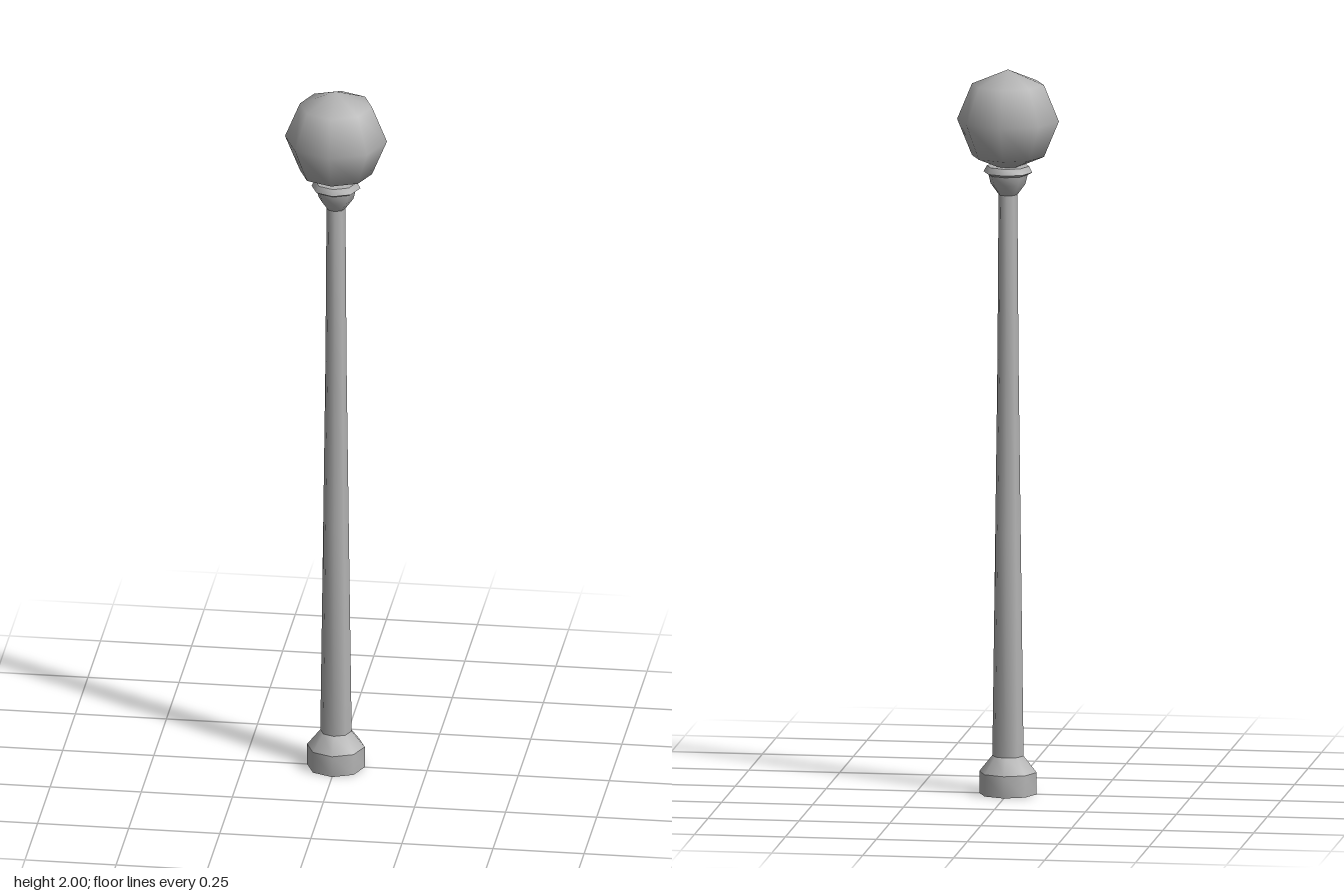
import * as THREE from 'three';
import { toCreasedNormals } from 'three/addons/utils/BufferGeometryUtils.js';

const SIDES = 8;

export function createModel() {
  const group = new THREE.Group();
  const grey = new THREE.MeshStandardMaterial({ color: 0xb4b4b4 });
  grey.name = 'grey';

  const add = (name, geometry) => {
    const mesh = new THREE.Mesh(geometry, grey);
    mesh.name = name;
    group.add(mesh);
    return mesh;
  };

  // Eight-sided turned part from [radius, height] pairs, bottom to top
  const turned = (name, profile) => {
    const points = profile.map(([r, y]) => new THREE.Vector2(r, y));
    return add(name, toCreasedNormals(new THREE.LatheGeometry(points, SIDES), 0.85));
  };

  // Foot with closed underside
  turned('foot', [[0, 0], [0.079, 0], [0.079, 0.06]]);
  turned('footBevel', [[0.079, 0.06], [0.043, 0.105]]);

  // Slender tapering post
  turned('post', [[0.043, 0.105], [0.035, 0.72], [0.029, 1.2], [0.026, 1.655]]);

  // Flared collar and rim below the globe
  turned('collar', [[0.026, 1.655], [0.048, 1.685], [0.054, 1.71]]);
  turned('rim', [[0.054, 1.71], [0.067, 1.717], [0.058, 1.734], [0, 1.734]]);

  // Faceted globe with smooth shading
  add('globe', new THREE.SphereGeometry(0.14, SIDES, 4)).position.y = 1.86;

  return group;
}
